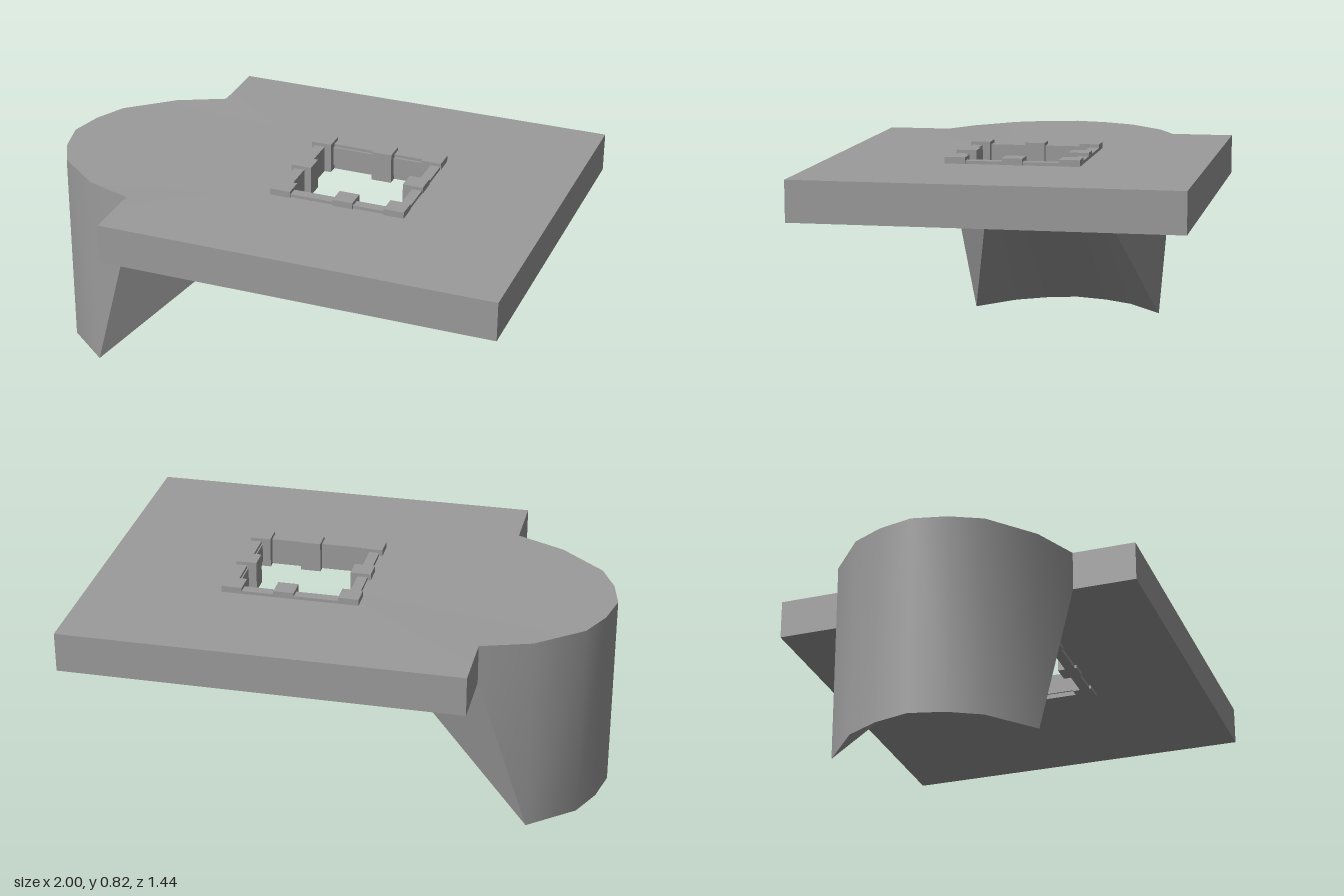
import * as THREE from 'three';
import { toCreasedNormals } from 'three/addons/utils/BufferGeometryUtils.js';

const material = new THREE.MeshStandardMaterial({ color: 0x9b9b9b });

// Half of the outline: x, z, bottom y, top y, then the matching point on the hole (x, z)
const HALF = [
  [-1, 0, 0.005, 0.79, 0, 0],
  [-0.97, 0.133, 0.003, 0.79, 0, 0.06],
  [-0.91, 0.255, 0, 0.79, 0, 0.12],
  [-0.735, 0.4, 0, 0.793, 0, 0.18],
  [-0.545, 0.475, 0.645, 0.8, 0, 0.18],
  [-0.545, 0.72, 0.645, 0.8, 0, 0.21],
  [1, 0.72, 0.645, 0.8, 0.44, 0.21],
];
const HOLE_BOTTOM = 0.725;
const HOLE_TOP = 0.8;

// Four-cornered sections carried around the hole
const MIRRORED = HALF.slice(1).reverse().map(([x, z, b, t, hx, hz]) => [x, -z, b, t, hx, -hz]);
const SECTIONS = [...HALF, ...MIRRORED].map(([x, z, b, t, hx, hz]) => [
  new THREE.Vector3(x, b, z),
  new THREE.Vector3(x, t, z),
  new THREE.Vector3(hx, HOLE_TOP, hz),
  new THREE.Vector3(hx, HOLE_BOTTOM, hz),
]);

// One side of the sections (0 outer wall, 1 top, 2 hole wall, 3 underside)
function addStrip(parent, name, k, creaseAngle) {
  const points = [];
  const addTriangle = (a, b, c) => {
    if (new THREE.Triangle(a, b, c).getArea() > 1e-6) points.push(a, b, c);
  };
  const m = (k + 1) % 4;
  SECTIONS.forEach((p, i) => {
    const n = SECTIONS[(i + 1) % SECTIONS.length];
    // The diagonals mirror from one half to the other
    if (i < HALF.length - 1) {
      addTriangle(p[k], n[k], p[m]);
      addTriangle(n[k], n[m], p[m]);
    } else {
      addTriangle(p[k], n[k], n[m]);
      addTriangle(p[k], n[m], p[m]);
    }
  });
  const geometry = toCreasedNormals(new THREE.BufferGeometry().setFromPoints(points), creaseAngle);
  const mesh = new THREE.Mesh(geometry, material);
  mesh.name = name;
  parent.add(mesh);
}

function addBox(parent, name, [w, h, d], [x, y, z]) {
  const mesh = new THREE.Mesh(new THREE.BoxGeometry(w, h, d), material);
  mesh.name = name;
  mesh.position.set(x, y, z);
  parent.add(mesh);
}

export function createModel() {
  const model = new THREE.Group();
  model.name = 'platform';

  // Deck and curved support: smooth outer wall, faceted elsewhere
  const deck = new THREE.Group();
  deck.name = 'deckAndSupport';
  model.add(deck);
  addStrip(deck, 'outerWall', 0, 0.5);
  addStrip(deck, 'deckTop', 1, 0.1);
  addStrip(deck, 'holeWall', 2, 0.1);
  addStrip(deck, 'underside', 3, 0.02);

  // Rim around the opening: four rails and eight posts
  const rim = new THREE.Group();
  rim.name = 'openingRim';
  rim.position.set(0.22, 0, -0.003);
  model.add(rim);
  const bottom = 0.705;
  const railH = 0.812 - bottom, postH = 0.825 - bottom;
  for (const s of [-1, 1]) {
    addBox(rim, 'sideRail', [0.04, railH, 0.5], [s * 0.24 + 0.005, bottom + railH / 2, 0]);
    addBox(rim, 'endRail', [0.52, railH, 0.04], [0.003, bottom + railH / 2, s * 0.232 - 0.004]);
  }
  for (const x of [-0.228, 0.024, 0.228]) {
    for (const z of [-0.217, 0, 0.217]) {
      if (x === 0.024 && z === 0) continue;
      addBox(rim, 'post', [0.08, postH, 0.078], [x, bottom + postH / 2, z]);
    }
  }
  return model;
}
